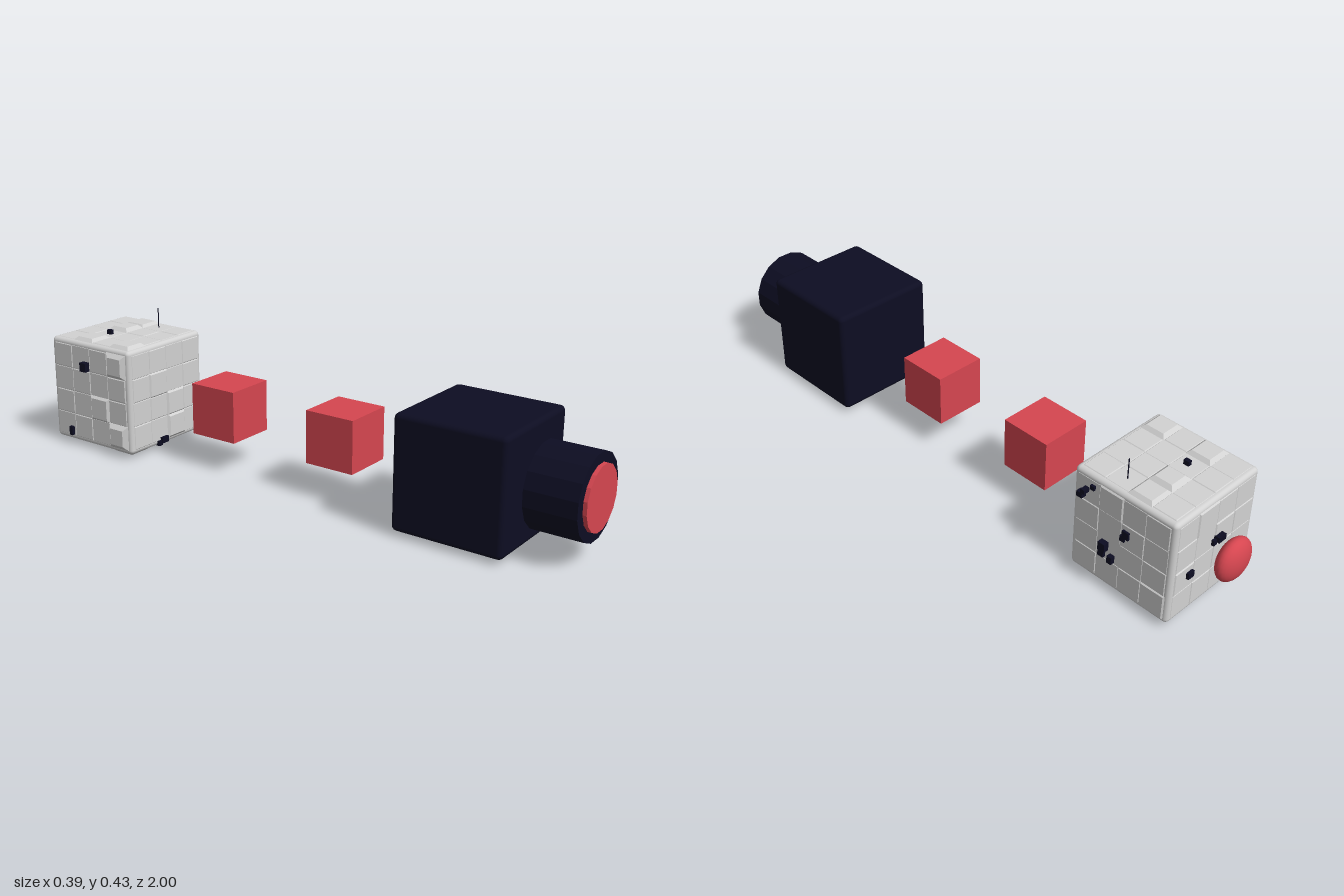
import * as THREE from 'three';
import { RoundedBoxGeometry } from 'three/addons/geometries/RoundedBoxGeometry.js';

const mat = (name, color, flatShading = false) => {
  const m = new THREE.MeshStandardMaterial({ color, flatShading });
  m.name = name;
  return m;
};

const CY = 0.191; // height of the common axis

export function createModel() {
  const navy = mat('navy', 0x0d0d22);
  const red = mat('red', 0xd64650);
  const grey = mat('lightGrey', 0xd2d2d2);

  const root = new THREE.Group();
  root.name = 'explodedCubes';
  const add = (name, geo, material, x, y, z, parent = root) => {
    const mesh = new THREE.Mesh(geo, material);
    mesh.name = name;
    mesh.position.set(x, y, z);
    parent.add(mesh);
    return mesh;
  };

  // Sixteen-sided drum lying along z, with a flat on top
  const drum = (r, depth) => {
    const g = new THREE.CylinderGeometry(r, r, depth, 16, 1, false, Math.PI / 16).toNonIndexed();
    g.computeVertexNormals();
    return g.rotateX(Math.PI / 2);
  };

  // Front housing and lens
  add('darkCube', new RoundedBoxGeometry(0.352, 0.352, 0.352, 2, 0.016), navy, -0.001, CY, 0.628);
  add('lensBarrel', drum(0.128, 0.158), navy, 0, CY, 0.909);
  add('lensDisc', drum(0.097, 0.014), red, 0, CY, 0.993);

  // Two plain cubes on the axis
  for (const z of [0.174, -0.276])
    add('redCube', new THREE.BoxGeometry(0.168, 0.168, 0.168), red, 0, 0.193, z);

  // Flattened dome at the back
  const dome = new THREE.SphereGeometry(0.068, 24, 16);
  dome.rotateX(Math.PI / 2).scale(1, 1, 0.5);
  add('rearDome', dome, red, -0.001, CY, -0.966);

  // Panelled cube
  const HALF = 0.175;
  const panelled = new THREE.Group();
  panelled.name = 'panelledCube';
  panelled.position.set(-0.001, CY, -0.724);
  root.add(panelled);
  add('panelledBody', new RoundedBoxGeometry(HALF * 2, HALF * 2, HALF * 2, 2, 0.014), grey, 0, 0, 0, panelled);

  // Plate with sloping sides; local y points outward
  const plate = (h) => {
    const base = h > 0.003 ? 0.042 : 0.039;
    const g = new THREE.CylinderGeometry((base - h * 1.05) * Math.SQRT2, base * Math.SQRT2, h, 4, 1, false, Math.PI / 4).toNonIndexed();
    g.computeVertexNormals();
    return g.translate(0, h / 2, 0);
  };

  // Each face: column direction, outward direction, row direction,
  // then plate heights in thousandths (hex digits), row by row
  const faces = [
    ['top', [1, 0, 0], [0, 1, 0], [0, 0, 1], '1212 b1da 2121 b212'],
    ['bottom', [1, 0, 0], [0, -1, 0], [0, 0, -1], '7121 1282 2121 121f'],
    ['left', [0, 0, -1], [1, 0, 0], [0, -1, 0], '1412 2121 1012 2124'],
    ['right', [0, 0, 1], [-1, 0, 0], [0, -1, 0], '212d 1213 2182 121e'],
    ['front', [1, 0, 0], [0, 0, 1], [0, -1, 0], '1212 2512 1262 2181'],
    ['back', [-1, 0, 0], [0, 0, -1], [0, -1, 0], '1421 2132 3121 1212'],
  ];
  for (const [name, u, n, w, rows] of faces) {
    const face = new THREE.Group();
    face.name = name + 'Panels';
    const [U, N, W] = [u, n, w].map((a) => new THREE.Vector3(...a));
    face.quaternion.setFromRotationMatrix(new THREE.Matrix4().makeBasis(U, N, W));
    face.position.copy(N).multiplyScalar(HALF);
    rows.split(' ').forEach((row, r) => [...row].forEach((d, c) => {
      const h = parseInt(d, 16) / 1000;
      if (h > 0) add('panel', plate(h), grey, (c - 1.5) * 0.08, 0, (r - 1.5) * 0.08, face);
    }));
    panelled.add(face);
  }

  // Small dark fittings: centre and size
  const fittings = [
    // left side
    [0.177, 0.331, -0.620, 0.012, 0.014, 0.014],
    [0.184, 0.313, -0.598, 0.024, 0.014, 0.014],
    [0.182, 0.294, -0.585, 0.022, 0.017, 0.020],
    [0.177, 0.241, -0.743, 0.012, 0.025, 0.022],
    [0.175, 0.222, -0.732, 0.012, 0.018, 0.016],
    [0.181, 0.160, -0.672, 0.022, 0.028, 0.024],
    [0.177, 0.136, -0.665, 0.014, 0.036, 0.020],
    [0.180, 0.128, -0.700, 0.018, 0.024, 0.016],
    // right side
    [-0.185, 0.288, -0.740, 0.022, 0.030, 0.026],
    [-0.181, 0.050, -0.820, 0.014, 0.030, 0.014],
    // top
    [-0.043, 0.373, -0.757, 0.013, 0.018, 0.018],
    // front
    [-0.024, 0.032, -0.546, 0.030, 0.020, 0.016],
    [-0.046, 0.024, -0.547, 0.016, 0.016, 0.014],
    // back
    [-0.016, 0.221, -0.906, 0.030, 0.018, 0.022],
    [0.004, 0.213, -0.902, 0.014, 0.018, 0.014],
    [0.100, 0.160, -0.903, 0.024, 0.020, 0.016],
  ];
  for (const [x, y, z, w, h, d] of fittings)
    add('fitting', new THREE.BoxGeometry(w, h, d), navy, x, y, z);

  // Antenna
  add('antenna', new THREE.CylinderGeometry(0.0017, 0.0017, 0.074, 8), navy, 0.118, 0.397, -0.686);

  return root;
}
